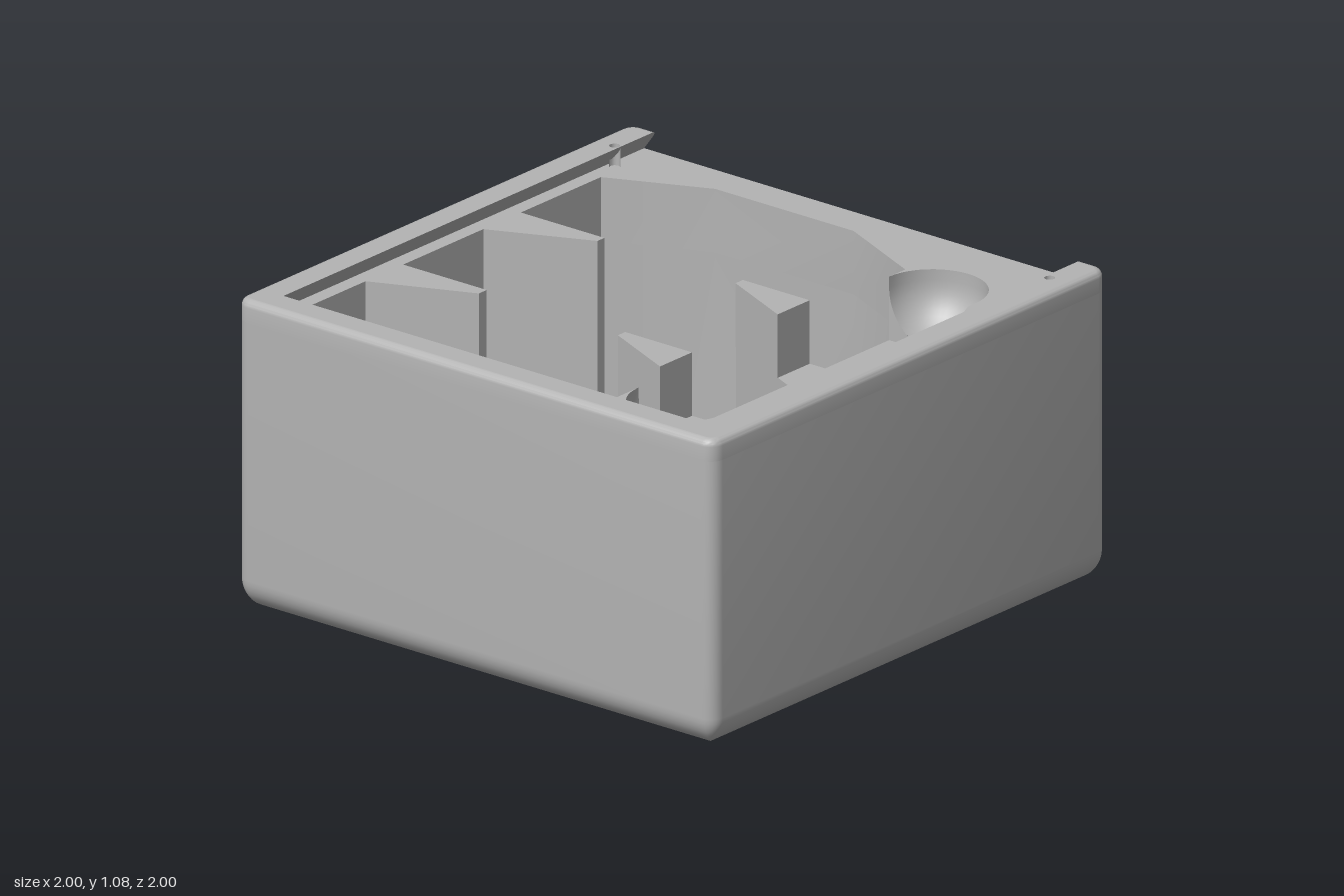
import * as THREE from 'three';
import { toCreasedNormals } from 'three/addons/utils/BufferGeometryUtils.js';

const FLOOR = 0.1, SHELF = 0.785, DECK = 1.005, TOP = 1.08;
const R = 0.182, BX = 0.567, BZ = 0.633; // finger bowl radius and centre

// Surface between stacked rings of [x, y, z] points, bottom to top
function loft(rings, closed) {
  const pos = [];
  for (let j = 0; j + 1 < rings.length; j++) {
    const lo = rings[j], hi = rings[j + 1], n = lo.length;
    for (let i = 0; i < (closed ? n : n - 1); i++) {
      const k = (i + 1) % n;
      pos.push(...lo[i], ...lo[k], ...hi[k], ...lo[i], ...hi[k], ...hi[i]);
    }
  }
  const g = new THREE.BufferGeometry();
  g.setAttribute('position', new THREE.Float32BufferAttribute(pos, 3));
  return toCreasedNormals(g, 0.5);
}

// Lift an [x, z] outline to a height
const at = (pts, y) => pts.map(([x, z]) => [x, y, z]);
const wall = (pts, y0, y1, closed) => loft([at(pts, y0), at(pts, y1)], closed);

// Flat upward-facing plate from an [x, z] outline with holes
function plate(pts, y, holes = []) {
  const v = (list) => list.map(([x, z]) => new THREE.Vector2(x, -z));
  const shape = new THREE.Shape(v(pts));
  for (const h of holes) shape.holes.push(new THREE.Path(v(h)));
  return new THREE.ShapeGeometry(shape).rotateX(-Math.PI / 2).translate(0, y, 0);
}

// Rounded square outline of half-size h
function roundedSquare(h, r, n = 6) {
  const pts = [];
  for (let k = -1; k < 3; k++) {
    const mid = Math.PI * (0.75 - k / 2);
    const cx = Math.sign(Math.cos(mid)) * (h - r), cz = Math.sign(Math.sin(mid)) * (h - r);
    for (let i = 0; i <= n; i++) {
      const a = Math.PI * (1 - k / 2 - i / n / 2);
      pts.push([cx + r * Math.cos(a), cz + r * Math.sin(a)]);
    }
  }
  return pts;
}

// Half circle of a finger bowl; side is -1 at the back, 1 at the front
function bowlArc(side, r, n = 24) {
  return Array.from({ length: n + 1 }, (_, i) => {
    const a = Math.PI * (i / n + (side < 0 ? 1 : 0));
    return [BX + r * Math.cos(a), side * BZ + r * Math.sin(a)];
  });
}

export function createModel() {
  const group = new THREE.Group();
  const grey = new THREE.MeshStandardMaterial({ color: 0xb4b4b4 });
  grey.name = 'plainGrey';
  const add = (name, geo) => {
    const m = new THREE.Mesh(geo, grey);
    m.name = name;
    group.add(m);
    return m;
  };

  // Outer shell with a rounded bottom edge
  const shell = [];
  for (let i = 0; i <= 10; i++) {
    const a = (i / 10) * Math.PI / 2, inset = 0.11 * (1 - Math.sin(a));
    shell.push(at(roundedSquare(1 - inset, Math.max(0.05 - inset, 0.003)), 0.11 * (1 - Math.cos(a))));
  }
  const outer = roundedSquare(1, 0.05);
  shell.push(at(outer, DECK));
  add('outerShell', loft(shell, true));
  add('underside', plate(roundedSquare(0.89, 0.003), 0).rotateX(Math.PI));

  // Outlines of the cavities
  const leftAndBack = [
    [-0.89, 0.885], [-0.89, 0.475], [-0.54, 0.325], [-0.54, 0.285], [-0.89, 0.285],
    [-0.89, -0.12], [-0.54, -0.275], [-0.54, -0.31], [-0.89, -0.31],
    [-0.89, -0.715], [-0.54, -0.87], [0.04, -0.87], [0.385, -0.715],
  ];
  const mainCavity = [
    ...leftAndBack,
    [0.385, -0.31], [0.04, -0.31], [0.04, -0.275], [0.385, -0.12],
    [0.385, 0.285], [0.04, 0.285], [0.04, 0.325], [0.385, 0.475], [0.385, 0.885],
  ];
  const upperLeft = [[0.385, BZ], [0.385, 0.885], ...leftAndBack, [0.385, -BZ]];
  const upperRight = [
    [BX + R, -BZ], [BX + R, -0.592], [0.885, -0.295],
    [0.885, 0.295], [BX + R, 0.592], [BX + R, BZ],
  ];
  const deckHole = [
    ...upperLeft, ...bowlArc(-1, R).slice(1, -1), ...upperRight, ...bowlArc(1, R).slice(1, -1),
  ];

  // Deck, cavity walls and floors
  add('deck', plate(outer, DECK, [deckHole]));
  add('mainCavityWall', wall(mainCavity, FLOOR, SHELF, true));
  add('mainCavityFloor', plate(mainCavity, FLOOR));
  add('upperCavityWall', wall(upperLeft, SHELF, DECK, false));
  add('shelfWall', wall(upperRight, SHELF, DECK, false));
  add('shelf', plate([
    [0.385, -BZ], ...upperRight, [0.385, BZ],
    [0.385, 0.475], [0.32, 0.447], [0.32, 0.285], [0.385, 0.285],
    [0.385, -0.12], [0.32, -0.149], [0.32, -0.31], [0.385, -0.31],
  ], SHELF));

  // Raised tips of the right-hand dividers
  for (const z of [-0.31, 0.285]) {
    const tip = [[0.04, z], [0.04, z + 0.037], [0.32, z + 0.162], [0.32, z]];
    add('dividerTip', wall(tip, SHELF, DECK, true));
    add('dividerTipTop', plate(tip, DECK));
  }

  // Finger bowls at both ends of the shelf
  const by = SHELF + R;
  for (const side of [-1, 1]) {
    const rings = [];
    for (let i = 0; i <= 12; i++) {
      const a = (1 - i / 12) * Math.PI / 2;
      rings.push(at(bowlArc(side, Math.max(R * Math.cos(a), 0.0005)), by - R * Math.sin(a)));
    }
    rings.push(at(bowlArc(side, R), DECK));
    add('fingerBowl', loft(rings, false));

    // Wall left standing below the bowl's rim
    const web = new THREE.Shape();
    web.moveTo(-R, -R - 0.001);
    web.lineTo(R, -R - 0.001);
    web.lineTo(R, 0);
    web.absarc(0, 0, R, 0, -Math.PI, true);
    const g = new THREE.ShapeGeometry(web, 24);
    if (side > 0) g.rotateY(Math.PI);
    add('bowlEndWall', g.translate(BX, by, side * BZ));
  }

  // U-shaped rim with an undercut groove for a sliding lid, open at the back
  const rimRing = (inset, y) => {
    const h = 1 - inset, i = 0.945 - 0.055 * (y - DECK) / (TOP - DECK);
    return [...roundedSquare(h, 0.05 - inset), [i, -h], [i, i], [-i, i], [-i, -h]];
  };
  const rim = [at(rimRing(0, DECK), DECK)];
  for (let i = 0; i <= 5; i++) {
    const a = (i / 5) * Math.PI / 2, y = TOP - 0.025 * (1 - Math.sin(a));
    rim.push(at(rimRing(0.025 * (1 - Math.cos(a)), y), y));
  }
  add('lidRail', loft(rim, true));

  // Rail top with two small catch holes
  const hole = (s) => Array.from({ length: 16 }, (_, i) => {
    const a = i * Math.PI / 8;
    return [s * 0.911 + 0.018 * Math.cos(a), -0.81 + 0.018 * Math.sin(a)];
  });
  add('lidRailTop', plate(rimRing(0.025, TOP), TOP, [hole(-1), hole(1)]));
  for (const s of [-1, 1]) add('catchHole', wall(hole(s), DECK, TOP, true));

  return group;
}
